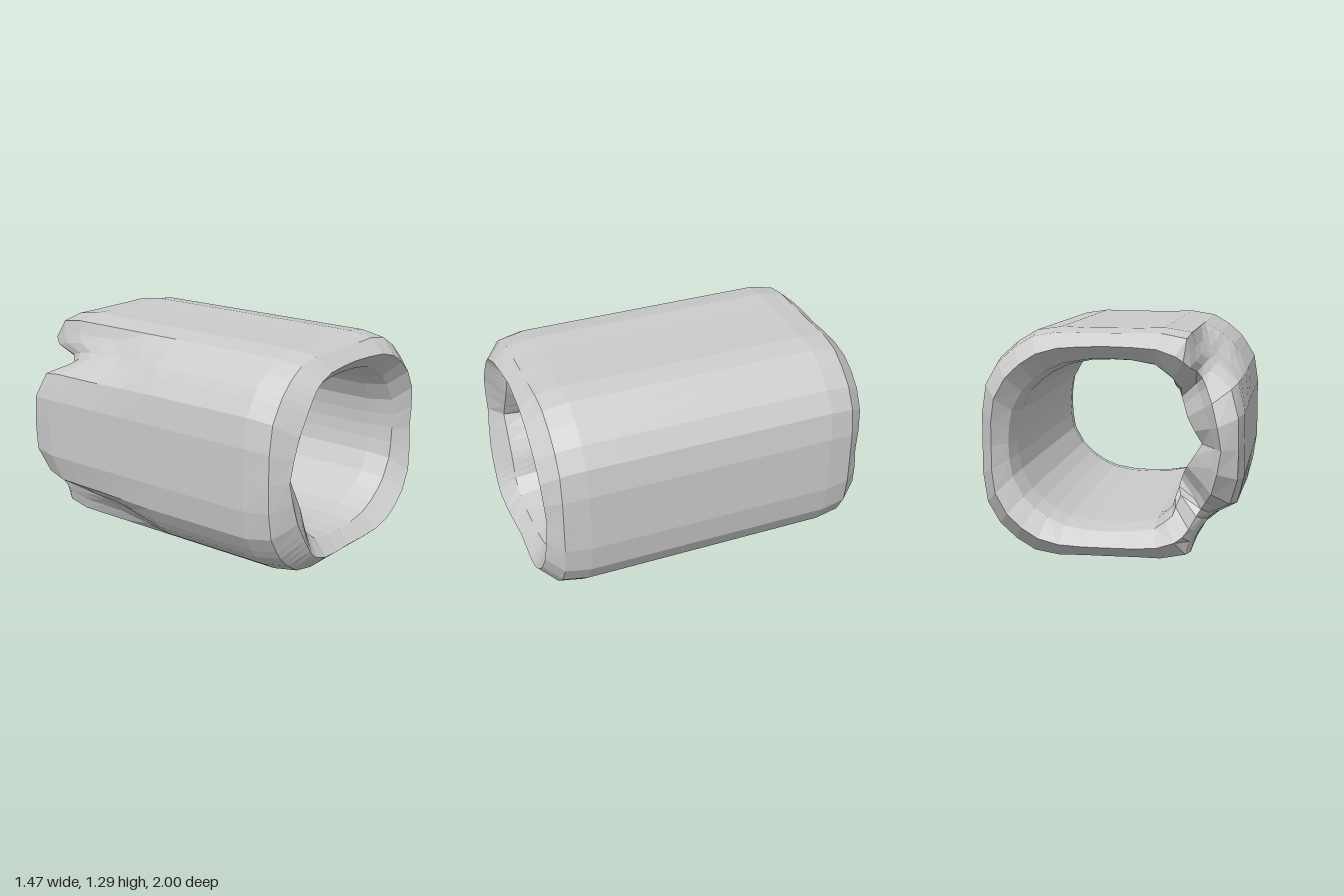
import * as THREE from 'three';

const MID = 0.65; // height of the mirror plane

// Quarter sections, top to side: outer x, outer y, bore x, bore y
const RIGHT = [
  [0.15, 1.29, 0.12, 1.11],
  [0.29, 1.295, 0.25, 1.085],
  [0.43, 1.275, 0.34, 1.04],
  [0.54, 1.21, 0.41, 0.99],
  [0.64, 1.12, 0.47, 0.93],
  [0.71, 1.0, 0.53, 0.82],
  [0.735, 0.83, 0.545, 0.73],
];
// The slotted side adds: lip x, lip y, slot depth, groove depth
const LEFT = [
  [-0.15, 1.29, -0.12, 1.11, -0.12, 1.11, 0, 0],
  [-0.29, 1.295, -0.25, 1.085, -0.25, 1.085, 0, 0],
  [-0.44, 1.27, -0.34, 1.04, -0.3, 1.04, 0, 0],
  [-0.49, 1.24, -0.375, 1.015, -0.335, 1.01, 0.05, 0.7],
  [-0.54, 1.21, -0.41, 0.99, -0.345, 0.97, 0.25, 1],
  [-0.58, 1.175, -0.44, 0.96, -0.355, 0.93, 0.9, 1],
  [-0.62, 1.14, -0.47, 0.93, -0.365, 0.89, 1, 0.9],
  [-0.655, 1.09, -0.49, 0.89, -0.38, 0.85, 0.85, 0.6],
  [-0.71, 1.0, -0.53, 0.82, -0.41, 0.79, 0.3, 0.2],
  [-0.735, 0.83, -0.545, 0.73, -0.455, 0.72, 0.03, 0],
];

// Full loop, clockwise from the top centre
function sectionLoop() {
  const plain = ([a, b, c, d]) => [a, b, c, d, c, d, 0, 0];
  const flip = ([a, b, c, d, e, f, s, g]) =>
    [a, 2 * MID - b, c, 2 * MID - d, e, 2 * MID - f, s, g];
  const top = plain([0, 1.29, 0, 1.115]);
  const right = RIGHT.map(plain);
  return [
    top, ...right, plain([0.735, MID, 0.55, MID]), ...right.map(flip).reverse(),
    flip(top), ...LEFT.map(flip),
    [-0.735, MID, -0.55, MID, -0.5, MID, 0, 0], ...LEFT.slice().reverse(),
  ];
}

// Rows run along the outside, round the back rim, and back through the bore: z, share of wall depth
function wallRows() {
  const along = [0.75, 0.55, 0.03, -0.2, -0.4, -0.58, -0.75];
  return [
    [0.98, 0.48], [0.9, 0.1], ...along.map((z) => [z, 0]), [-0.9, 0.1],
    [-0.98, 0.48], [-0.9, 0.9], ...along.slice().reverse().map((z) => [z, 1]), [0.9, 0.9],
  ];
}

function sleeveGeometry() {
  const loop = sectionLoop(), rows = wallRows();
  const pos = [], index = [];
  const n = loop.length, m = rows.length;
  rows.forEach(([z, depth], r) => {
    // thick lips just inside both openings
    const lip = THREE.MathUtils.smoothstep(Math.abs(z), 0.5, 0.75);
    const back = THREE.MathUtils.smoothstep(-z, -0.03, 0.45);
    for (const [ox, oy, bx, by, lx, ly, slot, groove] of loop) {
      const ix = bx + (lx - bx) * lip, iy = by + (ly - by) * lip;
      // grooves leading to the slots, and a long bevel inside the tab
      let t = depth;
      if (depth < 0.4) t += 0.27 * groove * back;
      else if (ox < -0.6 && z < -0.8) t = Math.min(t, 0.65);
      // rims dip mid-side and rise at the corners
      const corner = Math.min(1, Math.abs(ox * (oy - MID)) / 0.3);
      let zz = z * (Math.abs(z) > 0.95 ? 0.998 + 0.022 * corner : 1);
      if (z < 0) zz *= 1 - 0.24 * slot;
      pos.push(ox + (ix - ox) * t, oy + (iy - oy) * t, zz);
    }
    const q = (r + 1) % m;
    for (let i = 0; i < n; i++) {
      const j = (i + 1) % n;
      const a = r * n + i, b = r * n + j, c = q * n + i, d = q * n + j;
      index.push(a, b, c, b, d, c);
    }
  });
  const g = new THREE.BufferGeometry();
  g.setAttribute('position', new THREE.Float32BufferAttribute(pos, 3));
  g.setIndex(index);
  g.computeVertexNormals();
  return g;
}

export function createModel() {
  const group = new THREE.Group();
  group.name = 'slottedSleeve';
  const material = new THREE.MeshStandardMaterial({ color: 0xcccccc, flatShading: true });
  const sleeve = new THREE.Mesh(sleeveGeometry(), material);
  sleeve.name = 'sleeveWithTab';
  group.add(sleeve);
  return group;
}
